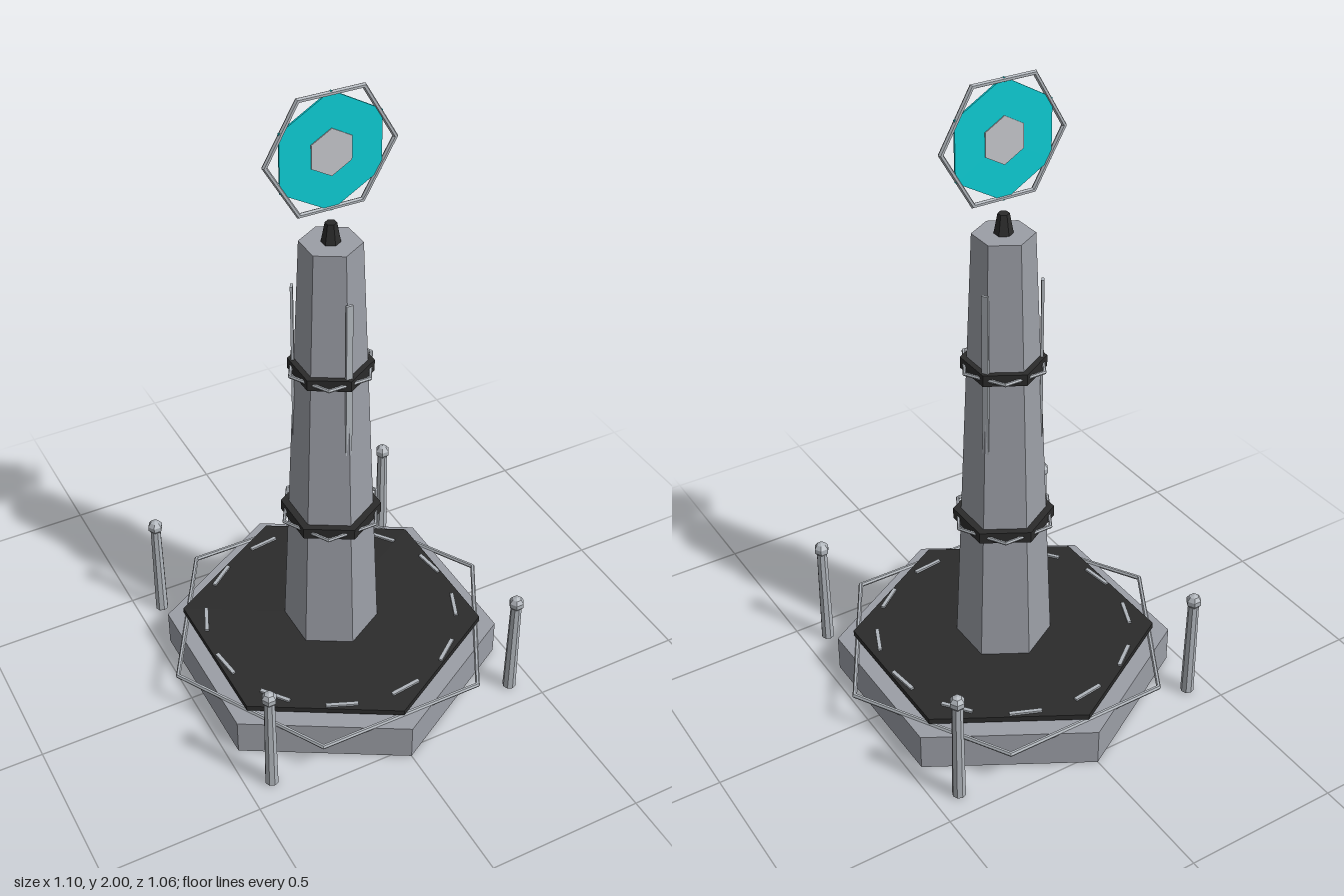
import * as THREE from 'three';

const mat = (name, color, flatShading = true) => {
  const m = new THREE.MeshStandardMaterial({ color, flatShading });
  m.name = name;
  return m;
};

export function createModel() {
  const stone = mat('stone grey', 0x9b9ea6);
  const metal = mat('light metal', 0xb0b5bb);
  const dark = mat('dark metal', 0x2b2b2b);
  const teal = mat('teal', 0x0ccad2);
  const pale = mat('pale grey', 0xc2c3c8);

  const model = new THREE.Group();
  model.name = 'beaconTower';

  const add = (name, geometry, material, x = 0, y = 0, z = 0) => {
    const mesh = new THREE.Mesh(geometry, material);
    mesh.name = name;
    mesh.position.set(x, y, z);
    model.add(mesh);
    return mesh;
  };
  // Six-sided prism or frustum between two heights, corners on the z axis
  const hex = (name, rTop, rBottom, y0, y1, material) =>
    add(name, new THREE.CylinderGeometry(rTop, rBottom, y1 - y0, 6), material, 0, (y0 + y1) / 2);
  // Thin six-sided hoop, corners on the x axis
  const hoop = (name, radius, tube, y, flat = true) => {
    const g = new THREE.TorusGeometry(radius, tube, 6, 6);
    if (flat) g.rotateX(Math.PI / 2);
    return add(name, g, metal, 0, y, 0);
  };

  // Base, deck and tapered tower
  hex('base', 0.532, 0.532, 0, 0.12, stone);
  hex('deck', 0.48, 0.48, 0.132, 0.15, dark);
  hoop('baseHoop', 0.54, 0.008, 0.12);
  hex('tower', 0.09, 0.151, 0.12, 1.55, stone);
  hex('finial', 0.017, 0.028, 1.55, 1.61, dark);

  // Bands around the tower, each with a thin hoop
  for (const [y, bandR, hoopR] of [[0.605, 0.154, 0.16], [1.14, 0.126, 0.132]]) {
    hex('band', bandR, bandR, y - 0.018, y + 0.018, dark);
    hoop('bandHoop', hoopR, 0.006, y);
  }

  // Upright strips on three tower corners
  for (let i = 0; i < 3; i++) {
    const a = (i * Math.PI * 2) / 3;
    const strip = add('towerStrip', new THREE.BoxGeometry(0.02, 0.52, 0.008), metal,
      Math.sin(a) * 0.11, 1.145, Math.cos(a) * 0.11);
    strip.rotation.y = a;
  }

  // Ring of light marks on the deck
  for (let i = 0; i < 12; i++) {
    const a = THREE.MathUtils.degToRad(7.2 + i * 30);
    const mark = add('deckMark', new THREE.BoxGeometry(0.1, 0.009, 0.012), metal,
      Math.sin(a) * 0.402, 0.152, Math.cos(a) * 0.402);
    mark.rotation.y = a;
  }

  // Four corner posts with ball tops
  for (const x of [-0.423, 0.423]) {
    for (const z of [-0.423, 0.423]) {
      add('post', new THREE.CylinderGeometry(0.017, 0.021, 0.35, 8), metal, x, 0.18, z);
      add('postBall', new THREE.SphereGeometry(0.025, 6, 5), metal, x, 0.362, z);
    }
  }

  // Floating emblem disc inside a hoop
  const cy = 1.824;
  const disc = (name, r, depth, material) =>
    add(name, new THREE.CylinderGeometry(r, r, depth, 6).rotateX(Math.PI / 2), material, 0, cy, 0);
  disc('beaconDisc', 0.176, 0.006, teal);
  disc('beaconCore', 0.07, 0.012, pale);
  hoop('beaconHoop', 0.194, 0.008, cy, false);

  return model;
}
